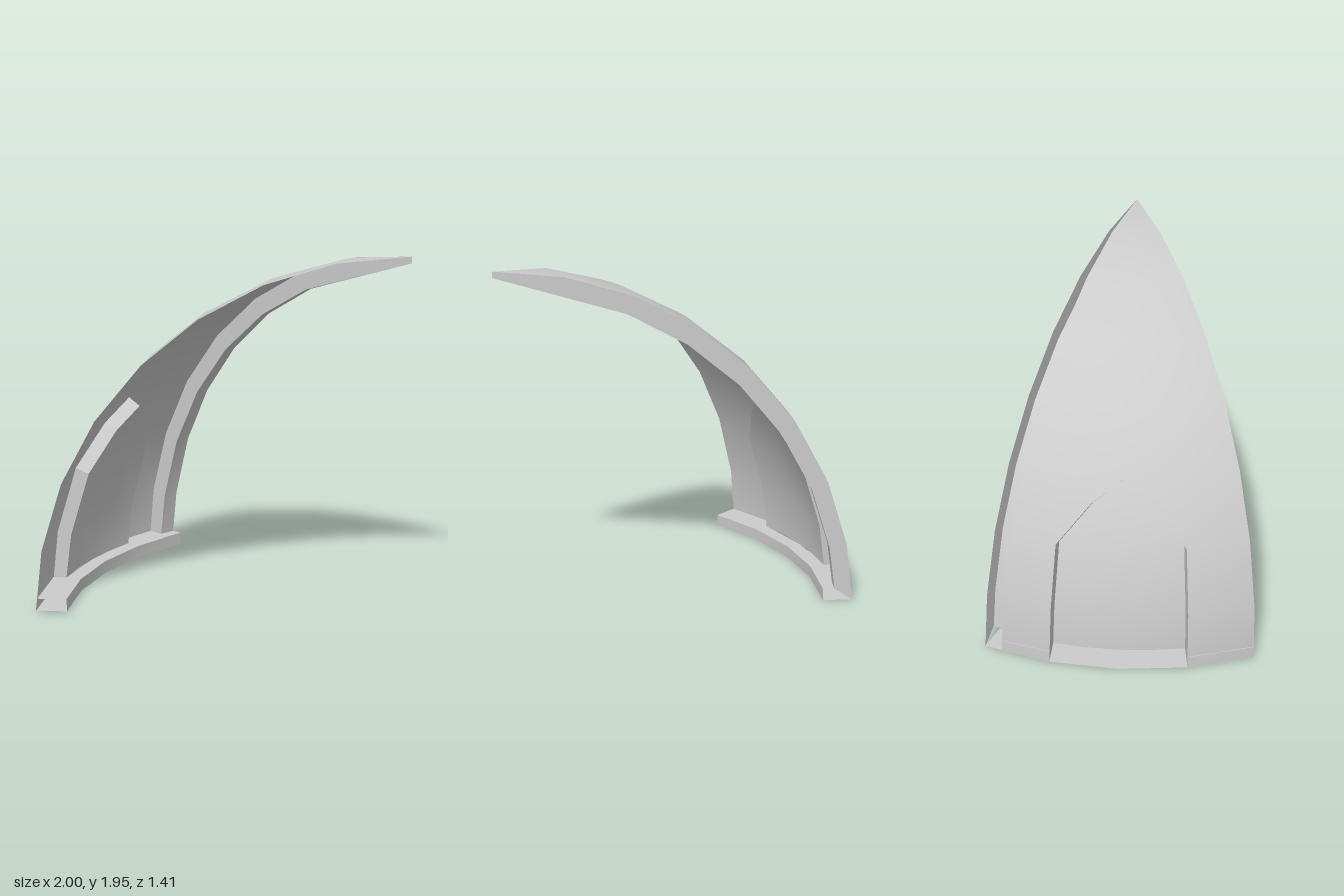
import * as THREE from 'three';

const CENTER = new THREE.Vector3(1, -0.05, 0.7); // centre of the dome
const R = 2, R_PANEL = 1.92, R_RIB = 1.9, R_RING = 1.83, RING_H = 0.07;
const RIB_START = 42, END = 45;
const rad = THREE.MathUtils.degToRad;

// Point on the dome: azimuth from -x towards -z, latitude upwards
function onDome(az, lat, r = R) {
  const a = rad(az), l = rad(lat);
  return new THREE.Vector3(-Math.cos(a) * Math.cos(l), Math.sin(l), -Math.sin(a) * Math.cos(l))
    .multiplyScalar(r).add(CENTER);
}
// Point at a given height and horizontal radius
const onRing = (az, r, y) =>
  new THREE.Vector3(CENTER.x - r * Math.cos(rad(az)), y, CENTER.z - r * Math.sin(rad(az)));
// Latitude at which a sphere of radius r reaches height y
const latAt = (y, r) => THREE.MathUtils.radToDeg(Math.asin((y - CENTER.y) / r));

const material = new THREE.MeshStandardMaterial({ color: 0xcccccc, side: THREE.DoubleSide });

// Surface through rows of points; style is 'dome' (radial normals), 'flat' or 'smooth'
function grid(name, rows, style) {
  const n = rows[0].length, index = [];
  for (let i = 0; i < rows.length - 1; i++)
    for (let j = 0; j < n - 1; j++) {
      const a = i * n + j, b = a + 1, c = a + n, d = c + 1;
      index.push(a, c, b, b, c, d);
    }
  let geo = new THREE.BufferGeometry().setFromPoints(rows.flat());
  geo.setIndex(index);
  if (style === 'flat') geo = geo.toNonIndexed();
  geo.computeVertexNormals();
  if (style === 'dome') {
    const p = geo.attributes.position, v = new THREE.Vector3();
    for (let i = 0; i < p.count; i++) {
      v.fromBufferAttribute(p, i).sub(CENTER).normalize();
      geo.attributes.normal.setXYZ(i, v.x, v.y, v.z);
    }
  }
  const mesh = new THREE.Mesh(geo, material);
  mesh.name = name;
  return mesh;
}

export function createModel() {
  const model = new THREE.Group();
  model.name = 'domeSegment';
  const base = latAt(0, R);
  const lats = [base, 11.25, 22.5, 33.75, 45, 56.25, 67.5, 78.75, 90];
  const doorAz = [11.25, 16.875, 22.5, 28.125, 33.75];
  const doorTop = [22.5, 29.7, 33.75, 29.7, 22.5];

  // Outer shell: full strips on both sides of the door, and the part above it
  const shell = new THREE.Group();
  shell.name = 'shell';
  for (const azs of [[0, 11.25], [33.75, RIB_START]])
    shell.add(grid('shellSide', lats.map(l => azs.map(a => onDome(a, l))), 'dome'));
  shell.add(grid('shellAboveDoor', [
    doorAz.map((a, j) => onDome(a, doorTop[j])),
    ...lats.slice(3).map(l => doorAz.map(a => onDome(a, l))),
  ], 'dome'));
  model.add(shell);

  // Pointed door panel, set inwards, with walls back to the shell
  const door = new THREE.Group();
  door.name = 'door';
  const panelBase = latAt(RING_H, R_PANEL);
  door.add(grid('doorPanel', [
    ...[panelBase, 11.25, 22.5].map(l => doorAz.map(a => onDome(a, l, R_PANEL))),
    doorAz.map((a, j) => onDome(a, doorTop[j], R_PANEL)),
  ], 'dome'));
  const outline = [
    [11.25, base], [11.25, 11.25],
    ...doorAz.map((a, j) => [a, doorTop[j]]),
    [33.75, 11.25], [33.75, base],
  ];
  door.add(grid('doorFrame', [
    outline.map(([a, l]) => onDome(a, l)),
    outline.map(([a, l]) => onDome(a, l === base ? panelBase : l, R_PANEL)),
  ], 'flat'));
  model.add(door);

  // Channel-shaped rib along the back edge, tapering at the apex
  const rib = new THREE.Group();
  rib.name = 'rib';
  const tip = new THREE.Vector3(1, 1.915, 0.7);
  const ribInner = az => lats.map((l, i) => {
    if (i === 0) return onDome(az, latAt(RING_H, R_RIB), R_RIB);
    if (l === 90) return tip.clone();
    if (l === 78.75) return onDome(az, 67.5, R_RIB).lerp(tip, 0.5);
    return onDome(az, l, R_RIB);
  });
  const ribOuter = az => lats.map(l => onDome(az, l));
  rib.add(grid('ribSide', [ribOuter(RIB_START), ribInner(RIB_START)], 'flat'));
  rib.add(grid('ribFloor', [ribInner(END), ribInner(RIB_START)], 'smooth'));
  rib.add(grid('ribEdge', [ribInner(END), ribOuter(END)], 'flat'));
  model.add(rib);

  // Base ring: top ledge, inner wall and underside, open at both ends
  const ring = new THREE.Group();
  ring.name = 'baseRing';
  const ledges = [
    [[0, 11.25], 1.996],
    [[11.25, 22.5, 33.75], 1.916],
    [[33.75, RIB_START], 1.996],
    [[RIB_START, END], 1.896],
  ];
  for (const [azs, r] of ledges)
    ring.add(grid('ringTop', [
      azs.map(a => onRing(a, r, RING_H)),
      azs.map(a => onRing(a, R_RING, RING_H)),
    ], 'flat'));
  const ringAz = [0, 11.25, 22.5, 33.75, END];
  const arc = (r, y) => ringAz.map(a => onRing(a, r, y));
  ring.add(grid('ringInnerWall', [arc(R_RING, RING_H), arc(R_RING, 0)], 'smooth'));
  ring.add(grid('ringUnderside', [arc(R_RING, 0), arc(R, 0)], 'flat'));
  model.add(ring);

  return model;
}
